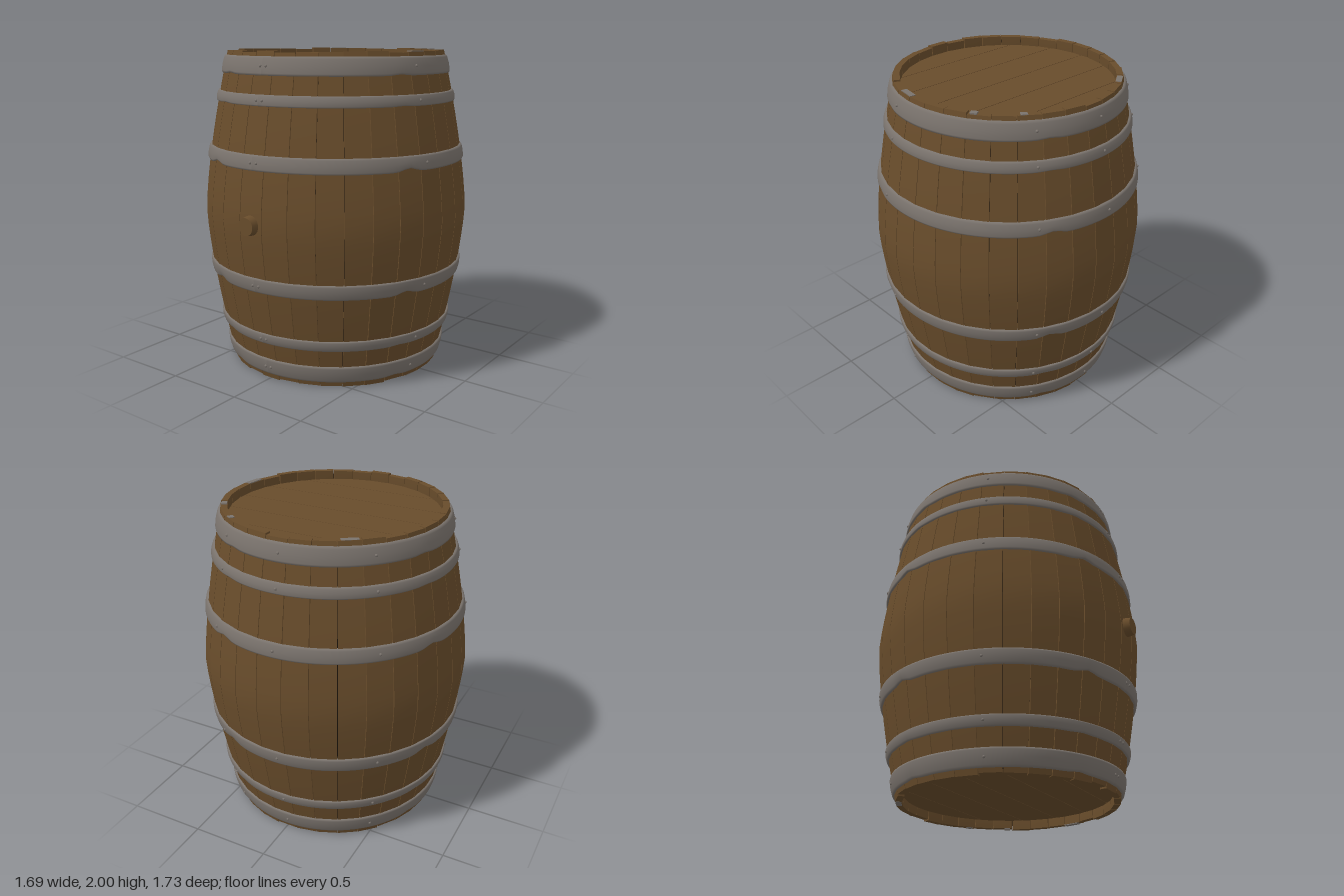
import * as THREE from 'three';
import { mergeGeometries } from 'three/addons/utils/BufferGeometryUtils.js';

const STAVES = 32;
const STEP = (Math.PI * 2) / STAVES;
const rad = THREE.MathUtils.degToRad;

// Outer radius of the bulging body at height y
const bodyRadius = (y) => 0.685 + 0.163 * (1 - Math.pow(Math.min(1, Math.abs(y - 1)), 1.4));

const mat = (name, color) => {
  const m = new THREE.MeshStandardMaterial({ color });
  m.name = name;
  return m;
};

function mesh(name, geometry, material) {
  const m = new THREE.Mesh(geometry, material);
  m.name = name;
  return m;
}

// Curved stave: a box bent so that x follows the angle and z the radius
function staveGeometry(i) {
  const g = new THREE.BoxGeometry(1, 2, 1, 1, 20, 1).translate(0, 1, 0);
  const p = g.attributes.position;
  const trim = [0, 0.006, 0.002, 0.009, 0.004][(i * 3) % 5];
  for (let k = 0; k < p.count; k++) {
    const y = THREE.MathUtils.clamp(p.getY(k), trim, 2 - trim);
    const end = Math.abs(y - 1) > 0.95;
    const r = bodyRadius(y) - (p.getZ(k) > 0 ? 0 : end ? 0.04 : 0.06);
    const a = i * STEP + p.getX(k) * (STEP - 0.004 / r);
    p.setXYZ(k, r * Math.sin(a), y, r * Math.cos(a));
  }
  g.computeVertexNormals();
  return g;
}

// Round-faced band with a few dents along its lower edge
function hoopGeometry(y0, y1, dent) {
  const h = y1 - y0;
  const profile = [[0, -0.012], [0, 0.006], [0.12, 0.012], [0.5, 0.015], [0.88, 0.012], [1, 0.006], [1, -0.012]]
    .map(([t, out]) => new THREE.Vector2(bodyRadius(y0 + h * t) + out, y0 + h * t));
  const g = new THREE.LatheGeometry(profile, 128);
  const p = g.attributes.position;
  for (let k = 0; k < p.count; k++) {
    const a = Math.atan2(p.getX(k), p.getZ(k));
    const low = 1 - (p.getY(k) - y0) / h;
    for (const d of [-25, 67, 155, -110]) {
      const diff = Math.atan2(Math.sin(a - rad(d)), Math.cos(a - rad(d)));
      p.setY(k, p.getY(k) + dent * low * Math.exp(-((diff / 0.07) ** 2)));
    }
  }
  g.computeVertexNormals();
  return g;
}

// One board of the round head, between z0 and z1
function boardGeometry(z0, z1, radius) {
  const pts = [];
  const n = 12;
  const edge = (z) => Math.sqrt(Math.max(0, radius * radius - z * z));
  const a0 = Math.asin(z0 / radius), a1 = Math.asin(z1 / radius);
  for (const side of [1, -1]) {
    for (let k = 0; k <= n; k++) {
      const t = side > 0 ? k / n : 1 - k / n;
      const z = radius * Math.sin(a0 + (a1 - a0) * t);
      pts.push(new THREE.Vector2(side * edge(z), -z));
    }
  }
  return new THREE.ExtrudeGeometry(new THREE.Shape(pts), { depth: 0.03, bevelEnabled: false }).rotateX(-Math.PI / 2);
}

export function createModel() {
  const wood = mat('wood', 0x684c2b);
  const metal = mat('metal', 0x7a736d);
  const dark = mat('dark seam', 0x1c140b);
  dark.side = THREE.DoubleSide;

  const model = new THREE.Group();
  model.name = 'barrel';
  const body = new THREE.Group();
  body.name = 'body';
  body.position.z = -0.018;
  model.add(body);

  // Staves, with a dark lining seen only through the seams
  const staves = Array.from({ length: STAVES }, (_, i) => staveGeometry(i));
  body.add(mesh('staves', mergeGeometries(staves), wood));
  const lining = [];
  for (let k = 0; k <= 20; k++) {
    const y = 0.03 + (1.94 * k) / 20;
    lining.push(new THREE.Vector2(bodyRadius(y) - 0.022, y));
  }
  body.add(mesh('seamLining', new THREE.LatheGeometry(lining, STAVES * 2), dark));

  // Heads of six boards each, sunk below the rims
  const cuts = [-0.652, -0.467, -0.237, -0.007, 0.228, 0.458, 0.652];
  const boards = [];
  for (let k = 0; k < 6; k++) boards.push(boardGeometry(cuts[k] + 0.002, cuts[k + 1] - 0.002, 0.652));
  const head = mergeGeometries(boards);
  for (const [name, y] of [['topHead', 1.91], ['bottomHead', 0.06]]) {
    const m = mesh(name, head, wood);
    m.position.y = y;
    body.add(m);
  }

  // Hoops and rivets, lower and upper sets
  const hoops = [
    [0.035, 0.14, 0.008], [0.25, 0.315, 0.005], [0.59, 0.68, 0.022],
    [1.325, 1.415, 0.022], [1.69, 1.755, 0.005], [1.862, 1.97, 0.008],
  ];
  const rivet = new THREE.SphereGeometry(0.009, 10, 6);
  for (const [y0, y1, dent] of hoops) {
    body.add(mesh('hoop', hoopGeometry(y0, y1, dent), metal));
    const y = (y0 + y1) / 2;
    const r = bodyRadius(y) + 0.014;
    const rivets = [-0.8, 2.4, 76, 149, 182, 225, 290].map((d) =>
      rivet.clone().translate(r * Math.sin(rad(d)), y, r * Math.cos(rad(d))));
    body.add(mesh('rivets', mergeGeometries(rivets), metal));
  }

  // Worn chips on both rims
  for (const [deg, w] of [[-146, 0.1], [144, 0.04], [121, 0.04], [80, 0.11]]) {
    for (const y of [1.995, 0.005]) {
      const chip = mesh('rimChip', new THREE.BoxGeometry(w, 0.009, 0.035), metal);
      chip.position.set(0.664 * Math.sin(rad(deg)), y, 0.664 * Math.cos(rad(deg)));
      chip.rotation.y = rad(deg);
      body.add(chip);
    }
  }

  // Tapered bung in the front
  const bung = mesh('bung', new THREE.CylinderGeometry(0.053, 0.062, 0.06, 24), wood);
  bung.rotation.x = Math.PI / 2;
  bung.position.set(0, 1.005, 0.838);
  model.add(bung);

  return model;
}
